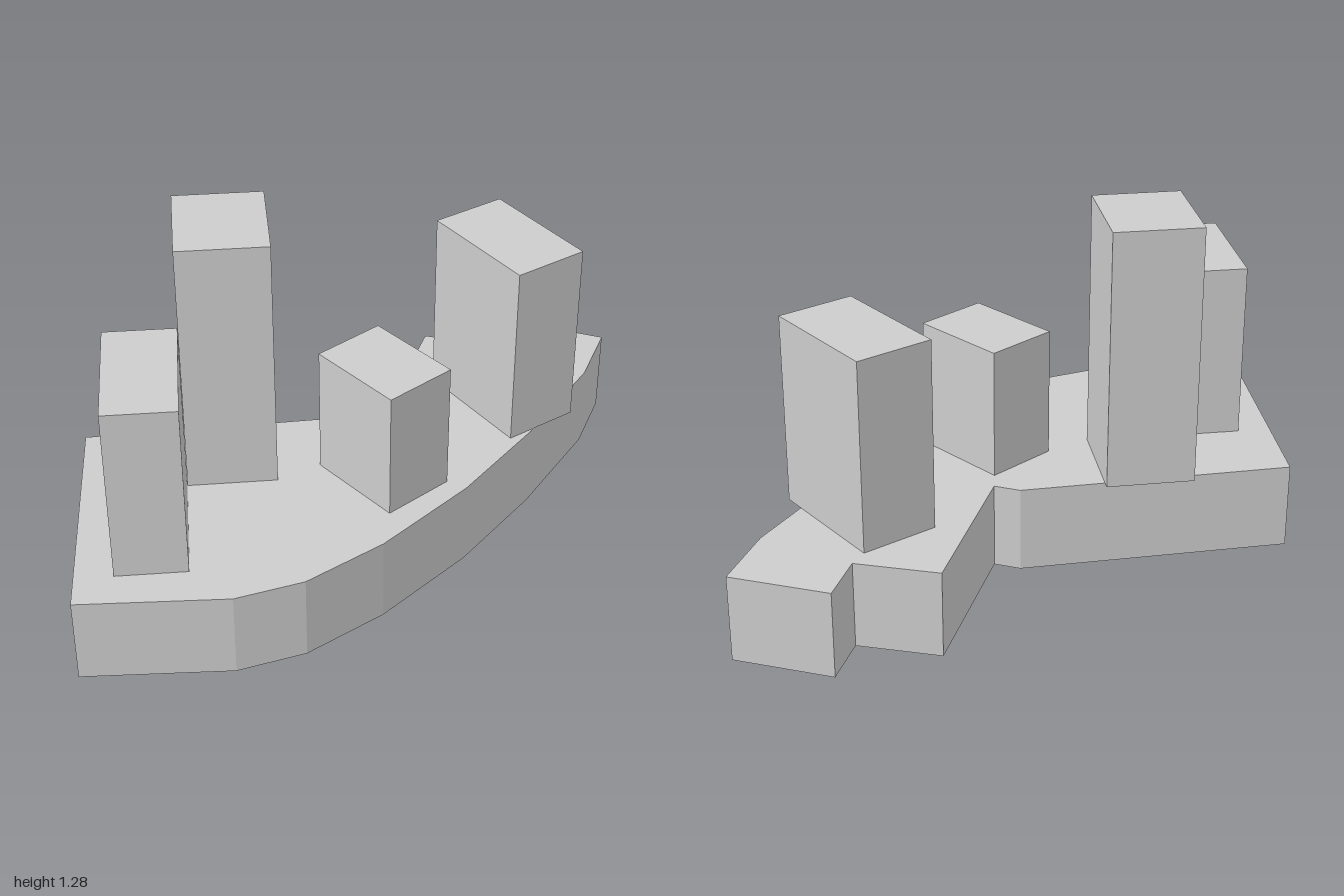
import * as THREE from 'three';

const concrete = new THREE.MeshStandardMaterial({ name: 'light grey', color: 0xcccccc });

// Upright prism from a ground plan of [x, z] corners
function prism(name, plan, bottom, top) {
  const shape = new THREE.Shape(plan.map(([x, z]) => new THREE.Vector2(x, -z)));
  const geometry = new THREE.ExtrudeGeometry(shape, { depth: top - bottom, bevelEnabled: false });
  geometry.rotateX(-Math.PI / 2);
  geometry.translate(0, bottom, 0);
  const mesh = new THREE.Mesh(geometry, concrete);
  mesh.name = name;
  return mesh;
}

export function createModel() {
  const model = new THREE.Group();
  model.name = 'buildingComplex';
  const deck = 0.32;

  // Curved podium with a stepped back edge
  model.add(prism('podium', [
    [-1, -0.108], [-0.01, -0.193], [0.08, -0.153], [0.3, -0.733], [0.59, -0.643],
    [0.66, -0.825], [1, -0.69], [0.895, -0.445], [0.64, -0.07], [0.37, 0.26],
    [0.06, 0.555], [-0.21, 0.74], [-0.45, 0.815], [-0.98, 0.82],
  ], 0, deck));

  // Four towers standing on the podium
  const towers = [
    ['frontRightTower', 0.975, [[-0.872, 0.198], [-0.848, 0.683], [-0.597, 0.67], [-0.618, 0.185]]],
    ['tallTower', 1.28, [[-0.636, -0.18], [-0.616, 0.2], [-0.296, 0.182], [-0.317, -0.198]]],
    ['lowTower', 0.8, [[0.072, -0.072], [-0.143, 0.1], [0.09, 0.39], [0.305, 0.218]]],
    ['backLeftTower', 1.018, [[0.55, -0.58], [0.305, -0.428], [0.56, -0.03], [0.803, -0.183]]],
  ];
  for (const [name, top, plan] of towers) model.add(prism(name, plan, deck, top));

  return model;
}
